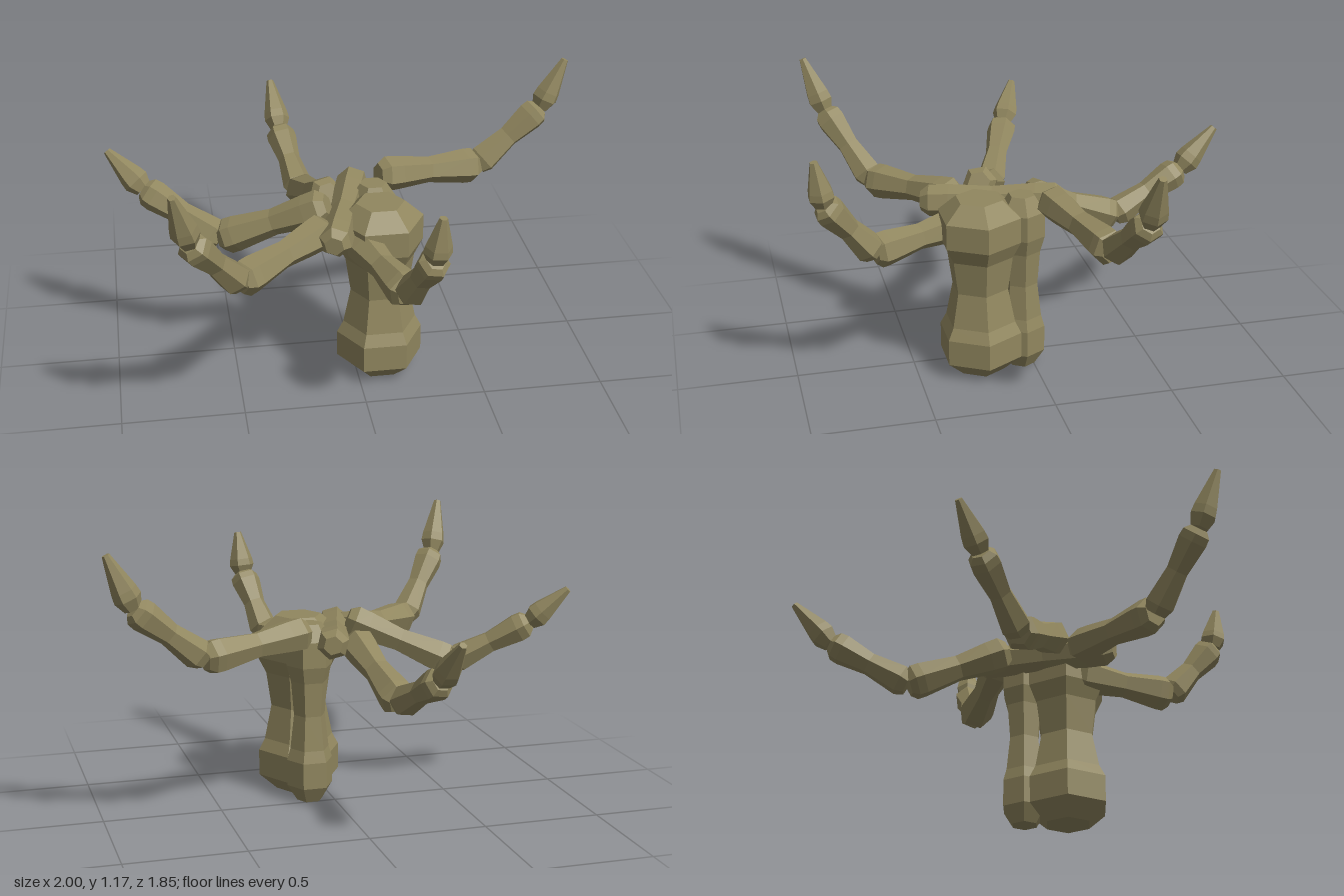
import * as THREE from 'three';

// Radius profiles as [fraction of length, fraction of radius]
const ARM = [[0, 0.56], [0.09, 1], [0.235, 1], [0.3, 0.85], [0.49, 0.68], [0.68, 0.8], [0.77, 1], [0.91, 1], [1, 0.56]];
const KNUCKLE = [[0, 0.65], [0.07, 1], [0.2, 0.95], [0.5, 0.74], [0.86, 1], [0.94, 1], [1, 0.7]];
const MIDDLE = [[0, 0.75], [0.1, 1], [0.5, 0.74], [0.85, 1], [0.94, 0.95], [1, 0.6]];
const CLAW = [[0, 0.65], [0.2, 1], [0.35, 0.92], [1, 0.28]];
const BAR = [[0, 0.6], [0.06, 1], [0.2, 1], [0.5, 0.85], [0.8, 1], [0.94, 1], [1, 0.6]];

export function createModel() {
  const hand = new THREE.Group();
  hand.name = 'skeletonHand';
  const boneColour = new THREE.MeshStandardMaterial({ color: 0x91875f, flatShading: true });
  boneColour.name = 'old bone';

  // Six-sided bone running from point a to point b
  function bone(name, a, b, radius, profile) {
    const from = new THREE.Vector3(...a);
    const along = new THREE.Vector3(...b).sub(from);
    const length = along.length();
    const points = profile.map(([t, r]) => new THREE.Vector2(r * radius, t * length));
    points.unshift(new THREE.Vector2(0, 0));
    points.push(new THREE.Vector2(0, length));
    const mesh = new THREE.Mesh(new THREE.LatheGeometry(points, 6, Math.PI / 2), boneColour);
    mesh.name = name;
    mesh.position.copy(from);
    mesh.quaternion.setFromUnitVectors(new THREE.Vector3(0, 1, 0), along.normalize());
    return mesh;
  }

  // Two forearm bones and the bar across the palm
  hand.add(bone('largeForearmBone', [0.1, 0, 0.225], [0.1, 0.78, 0.225], 0.18, ARM));
  hand.add(bone('smallForearmBone', [0.1, 0, 0.045], [0.1, 0.78, 0.045], 0.1, ARM));
  hand.add(bone('palmBar', [-0.12, 0.7, 0.43], [0.05, 0.72, -0.15], 0.068, BAR));

  // Each finger: base, first joint, second joint, tip
  const fingers = {
    leftFinger: [[0.14, 0.765, -0.06], [0.6, 0.715, -0.2], [0.885, 0.945, -0.25], [0.985, 1.16, -0.255]],
    frontFinger: [[0.0, 0.64, 0.27], [0.135, 0.6, 0.67], [0.195, 0.85, 0.87], [0.21, 1.04, 0.9]],
    thumb: [[-0.13, 0.7, 0.27], [-0.51, 0.66, 0.58], [-0.7, 0.93, 0.75], [-0.755, 1.16, 0.83]],
    rightFinger: [[-0.11, 0.76, 0.18], [-0.54, 0.57, 0.04], [-0.845, 0.755, -0.095], [-0.985, 0.905, -0.17]],
    backFinger: [[-0.08, 0.71, -0.02], [-0.15, 0.535, -0.43], [-0.205, 0.7, -0.75], [-0.225, 0.875, -0.91]],
  };
  for (const [name, p] of Object.entries(fingers)) {
    const finger = new THREE.Group();
    finger.name = name;
    finger.add(bone('knuckleBone', p[0], p[1], 0.075, KNUCKLE));
    finger.add(bone('middleBone', p[1], p[2], 0.066, MIDDLE));
    finger.add(bone('clawBone', p[2], p[3], 0.057, CLAW));
    hand.add(finger);
  }
  return hand;
}
